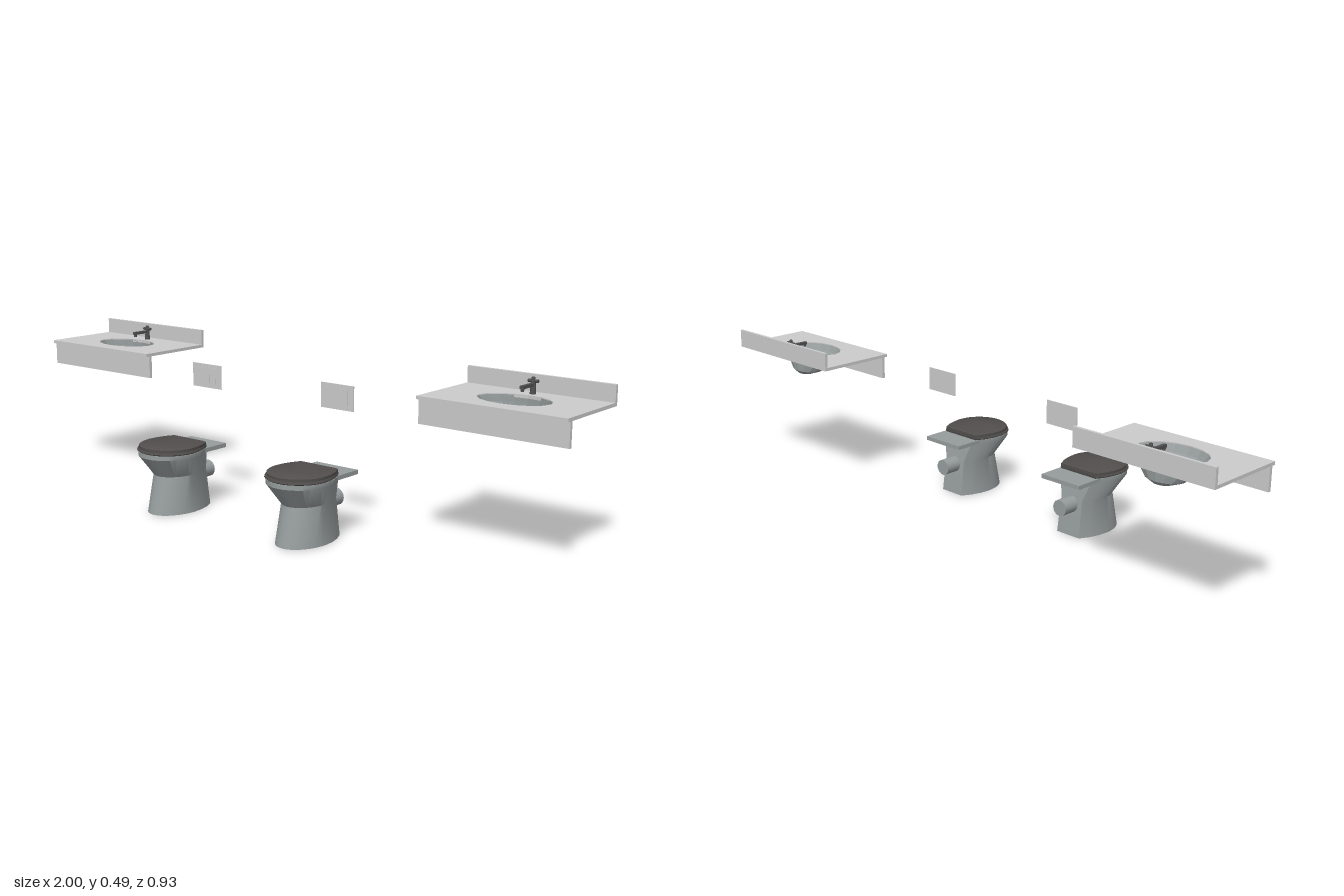
import * as THREE from 'three';
import { toCreasedNormals } from 'three/addons/utils/BufferGeometryUtils.js';

const YAW = -0.328;
const stone = new THREE.MeshStandardMaterial({ color: 0xcccccc, side: THREE.DoubleSide });
const ceramic = new THREE.MeshStandardMaterial({ color: 0x969c9c });
const basinMat = new THREE.MeshStandardMaterial({ color: 0x969c9c, side: THREE.DoubleSide, flatShading: true });
const dark = new THREE.MeshStandardMaterial({ color: 0x524e4e });
const metal = new THREE.MeshStandardMaterial({ color: 0x505050 });

function add(parent, name, geometry, material, x = 0, y = 0, z = 0) {
  const mesh = new THREE.Mesh(geometry, material);
  mesh.name = name;
  mesh.position.set(x, y, z);
  parent.add(mesh);
  return mesh;
}

const box = (w, h, d) => new THREE.BoxGeometry(w, h, d);

// Skin a stack of equal-length rings, listed from bottom to top
function loft(rings, capBottom, capTop) {
  const n = rings[0].length, pos = [], index = [];
  rings.forEach((r) => r.forEach((p) => pos.push(p.x, p.y, p.z)));
  for (let i = 0; i < rings.length - 1; i++) {
    for (let j = 0; j < n; j++) {
      const a = i * n + j, b = i * n + (j + 1) % n;
      index.push(a, a + n, b, b, a + n, b + n);
    }
  }
  const cap = (row, up) => {
    const mid = rings[row].reduce((s, p) => s.add(p), new THREE.Vector3()).divideScalar(n);
    const c = pos.length / 3;
    pos.push(mid.x, mid.y, mid.z);
    for (let j = 0; j < n; j++) {
      const a = row * n + j, b = row * n + (j + 1) % n;
      index.push(c, up ? b : a, up ? a : b);
    }
  };
  if (capBottom) cap(0, false);
  if (capTop) cap(rings.length - 1, true);
  const g = new THREE.BufferGeometry();
  g.setAttribute('position', new THREE.Float32BufferAttribute(pos, 3));
  g.setIndex(index);
  return toCreasedNormals(g, 0.6);
}

// Elliptical ring
function ellipse(y, a, b, zc, n = 16) {
  return Array.from({ length: n }, (_, i) => {
    const t = (i / n) * Math.PI * 2;
    return new THREE.Vector3(a * Math.cos(t), y, zc + b * Math.sin(t));
  });
}

// Ring with a round front, tapering to a straight back edge
function horseshoe(y, w, front, back, backW) {
  const mid = back + (front - back) * 0.48, pts = [];
  for (let i = 0; i <= 16; i++) {
    const t = (i / 16) * Math.PI;
    pts.push(new THREE.Vector3(w * Math.cos(t), y, mid + (front - mid) * Math.sin(t)));
  }
  const side = (s, k) => new THREE.Vector3(s * (w + (backW - w) * k * k), y, mid + (back - mid) * k);
  for (const k of [0.33, 0.67, 1]) pts.push(side(-1, k));
  for (const k of [1, 0.67, 0.33]) pts.push(side(1, k));
  return pts;
}

function createSink() {
  const g = new THREE.Group();
  g.name = 'sink';
  const W = 0.47, D = 0.27;

  // Counter with a basin cut-out
  const rim = ellipse(0.438, 0.112, 0.075, 0.005);
  const shape = new THREE.Shape([
    new THREE.Vector2(-W / 2, -D / 2), new THREE.Vector2(W / 2, -D / 2),
    new THREE.Vector2(W / 2, D / 2), new THREE.Vector2(-W / 2, D / 2)]);
  shape.holes.push(new THREE.Path(rim.map((p) => new THREE.Vector2(p.x, -p.z))));
  const slab = new THREE.ExtrudeGeometry(shape, { depth: 0.01, bevelEnabled: false }).rotateX(-Math.PI / 2);
  add(g, 'counter', slab, stone, 0, 0.431, 0);
  add(g, 'frontApron', box(W, 0.073, 0.01), stone, 0, 0.3955, D / 2 - 0.017);
  add(g, 'backsplash', box(W, 0.06, 0.01), stone, 0, 0.461, -D / 2 + 0.005);

  // Basin, deepest toward the back
  add(g, 'basin', loft([
    ellipse(0.364, 0.03, 0.022, -0.037),
    ellipse(0.375, 0.062, 0.042, -0.026),
    ellipse(0.395, 0.087, 0.056, -0.013),
    ellipse(0.418, 0.105, 0.069, -0.001),
    rim,
  ], true, false), basinMat);
  add(g, 'drain', new THREE.CylinderGeometry(0.011, 0.011, 0.006, 12), metal, 0, 0.364, -0.037);

  // Tap
  const tap = new THREE.Group();
  tap.name = 'tap';
  tap.position.set(0, 0.441, -0.094);
  g.add(tap);
  add(tap, 'tapStem', new THREE.CylinderGeometry(0.007, 0.009, 0.034, 12), metal, 0, 0.017, 0);
  add(tap, 'tapSpout', box(0.011, 0.009, 0.066), metal, 0, 0.027, 0.031);
  add(tap, 'tapNozzle', new THREE.CylinderGeometry(0.005, 0.005, 0.01, 10), metal, 0, 0.02, 0.058);
  add(tap, 'tapHandle', new THREE.CylinderGeometry(0.005, 0.005, 0.032, 10).rotateZ(Math.PI / 2), metal, 0, 0.037, 0);
  add(tap, 'tapCap', new THREE.CylinderGeometry(0.005, 0.007, 0.014, 12), metal, 0, 0.041, 0);
  return g;
}

function createToilet(buttonWidths) {
  const g = new THREE.Group();
  g.name = 'toilet';

  // Foot, waist and flared bowl
  add(g, 'pedestalAndBowl', loft([
    horseshoe(0, 0.075, 0.086, -0.122, 0.045),
    horseshoe(0.117, 0.066, 0.06, -0.108, 0.042),
    horseshoe(0.18, 0.098, 0.107, -0.092, 0.062),
    horseshoe(0.194, 0.098, 0.107, -0.09, 0.066),
  ], true, true), ceramic);
  add(g, 'rearShelf', box(0.154, 0.013, 0.115), ceramic, 0, 0.1875, -0.1075);
  add(g, 'wastePipe', new THREE.CylinderGeometry(0.026, 0.026, 0.09, 20).rotateX(Math.PI / 2), ceramic, 0, 0.101, -0.12);

  // Seat and closed lid
  add(g, 'seat', loft([
    horseshoe(0.194, 0.096, 0.105, -0.08, 0.07),
    horseshoe(0.197, 0.1, 0.109, -0.081, 0.072),
    horseshoe(0.203, 0.098, 0.107, -0.081, 0.071),
  ], true, true), dark);
  add(g, 'lid', loft([
    horseshoe(0.203, 0.095, 0.103, -0.081, 0.07),
    horseshoe(0.211, 0.095, 0.103, -0.081, 0.07),
    horseshoe(0.214, 0.09, 0.098, -0.078, 0.066),
  ], true, true), dark);

  // Wall flush plate with its buttons
  add(g, 'flushPlate', box(0.121, 0.075, 0.003), stone, 0, 0.401, -0.164);
  let x = -0.04;
  for (const w of buttonWidths) {
    add(g, 'flushButton', box(w - 0.004, 0.05, 0.003), stone, x + w / 2, 0.403, -0.1625);
    x += w;
  }
  return g;
}

export function createModel() {
  const model = new THREE.Group();
  model.name = 'washroomFixtures';
  const place = (part, x, z) => {
    part.position.set(x, 0, z);
    part.rotation.y = YAW;
    model.add(part);
  };
  place(createSink(), -0.734, -0.262);
  place(createSink(), 0.734, 0.25);
  place(createToilet([0.052, 0.028]), -0.347, 0.187);
  place(createToilet([0.08]), 0.15, 0.36);
  return model;
}
